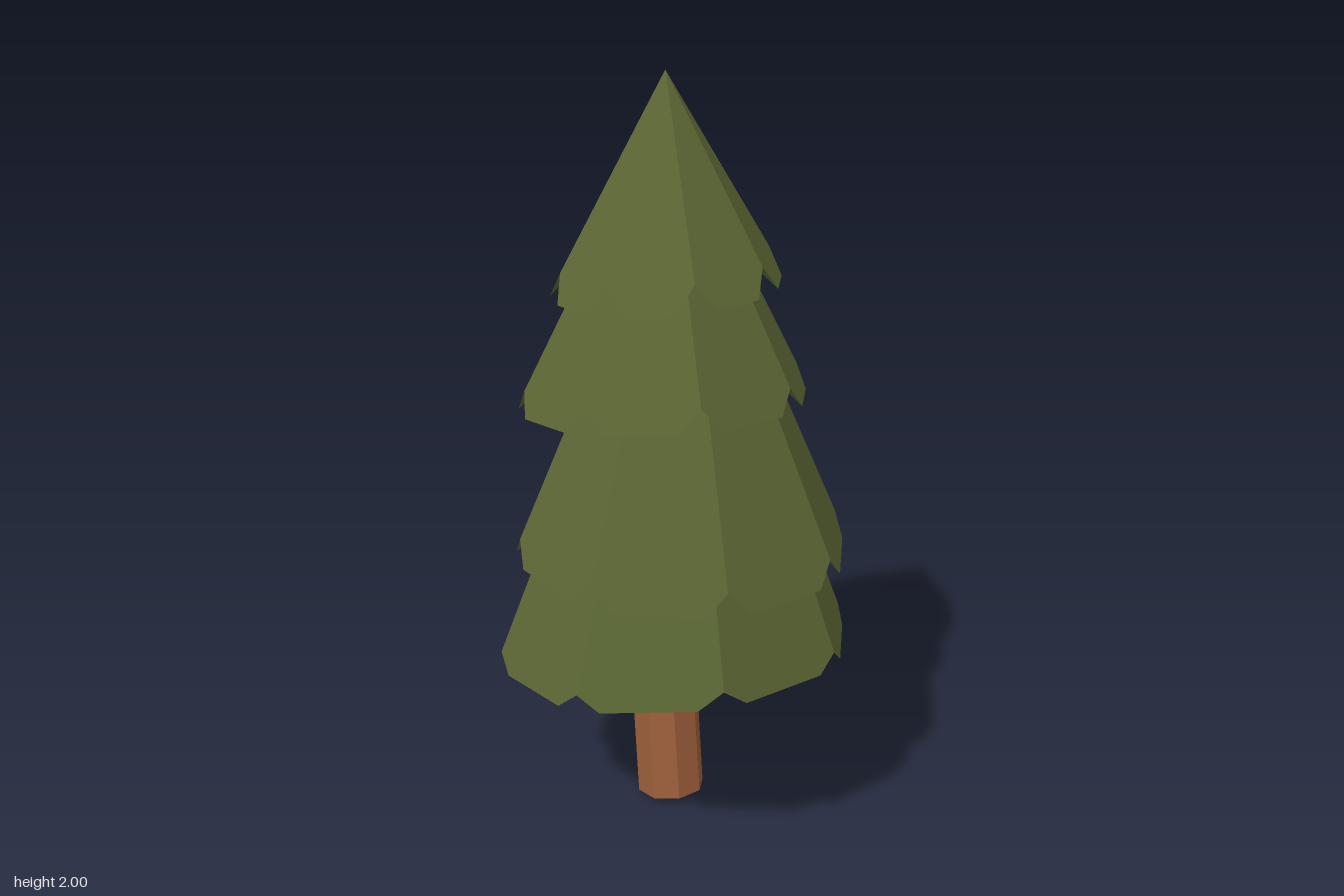
import * as THREE from 'three';

const SIDES = 8;
const PHASE = THREE.MathUtils.degToRad(11);
const STEP = (Math.PI * 2) / SIDES;

const leafMat = new THREE.MeshStandardMaterial({ color: 0x5a6533, flatShading: true });
const barkMat = new THREE.MeshStandardMaterial({ color: 0x965a38, flatShading: true, side: THREE.DoubleSide });

function facetGeometry(points) {
  const g = new THREE.BufferGeometry();
  g.setAttribute('position', new THREE.Float32BufferAttribute(points.flat(), 3));
  g.computeVertexNormals();
  return g;
}

// Eight-sided cone with clipped facet corners and a hollowed underside.
// center: rim centre, apex: tip, r: radius of the low corners,
// tilt: [slope along x, slope along z, bend along z] of the rim,
// lift: notch height, cut: half-width of a notch in degrees, hollow: depth of the underside
function tier({ center, apex, r, tilt, lift, cut, hollow }) {
  const height = apex[1] - center[1];
  const half = THREE.MathUtils.degToRad(cut);
  const edgeR = r * Math.cos(STEP / 2 - half) / Math.cos(STEP / 2);
  const inner = [center[0], center[1] + hollow, center[2]];
  const at = (angle, radius, up) => {
    const t = up / height;
    const x = Math.cos(angle) * radius * (1 - t);
    const z = Math.sin(angle) * radius * (1 - t);
    return [
      center[0] + (apex[0] - center[0]) * t + x,
      center[1] + up + x * tilt[0] + z * tilt[1] + z * z * tilt[2],
      center[2] + (apex[2] - center[2]) * t + z,
    ];
  };
  const points = [];
  for (let i = 0; i < SIDES; i++) {
    const a = PHASE + i * STEP, b = a + STEP;
    const rim = [at(b, edgeR, lift), at(b - half, r, 0), at(a + half, r, 0), at(a, edgeR, lift)];
    for (let k = 0; k < 3; k++) {
      points.push(apex, rim[k], rim[k + 1]);
      points.push(inner, rim[k + 1], rim[k]);
    }
  }
  return facetGeometry(points);
}

// Bent, open-ended eight-sided trunk, lofted through tilted rings
function trunk() {
  const rings = [
    { c: [0.003, 0.016, -0.028], r: 0.094, slope: 0.16 },
    { c: [0.016, 0.27, -0.09], r: 0.094, slope: 0.05 },
    { c: [0.008, 0.95, -0.02], r: 0.085, slope: -0.1 },
  ];
  const at = (ring, i) => {
    const a = PHASE + i * STEP;
    const x = Math.cos(a) * ring.r, z = Math.sin(a) * ring.r;
    return [ring.c[0] + x, ring.c[1] + z * ring.slope, ring.c[2] + z];
  };
  const points = [];
  for (let i = 0; i < SIDES; i++) {
    for (let k = 0; k < rings.length - 1; k++) {
      const a = at(rings[k], i), b = at(rings[k], i + 1);
      const c = at(rings[k + 1], i + 1), d = at(rings[k + 1], i);
      points.push(a, d, b, b, d, c);
    }
  }
  return facetGeometry(points);
}

export function createModel() {
  const tree = new THREE.Group();
  tree.name = 'pineTree';

  const add = (name, geometry, material) => {
    const mesh = new THREE.Mesh(geometry, material);
    mesh.name = name;
    tree.add(mesh);
  };

  add('trunk', trunk(), barkMat);

  // Branch tiers from bottom to top
  const tiers = [
    { center: [0, 0.5, 0], apex: [0, 1.76, 0.03], r: 0.467, tilt: [0, 0.1, 0.13], lift: 0.045, cut: 7.5, hollow: 0.45 },
    { center: [0.01, 0.8, 0.025], apex: [0.01, 1.82, 0.01], r: 0.432, tilt: [-0.02, 0.02, 0], lift: 0.06, cut: 7.5, hollow: 0.4 },
    { center: [0, 1.18, -0.065], apex: [0.005, 1.93, -0.06], r: 0.372, tilt: [0, 0.11, 0], lift: 0.06, cut: 8.5, hollow: 0.33 },
    { center: [0, 1.485, -0.045], apex: [0.01, 2, -0.07], r: 0.288, tilt: [0.06, 0.03, 0], lift: 0.065, cut: 10, hollow: 0.25 },
  ];
  tiers.forEach((t, i) => add(`branchTier${i + 1}`, tier(t), leafMat));

  return tree;
}
